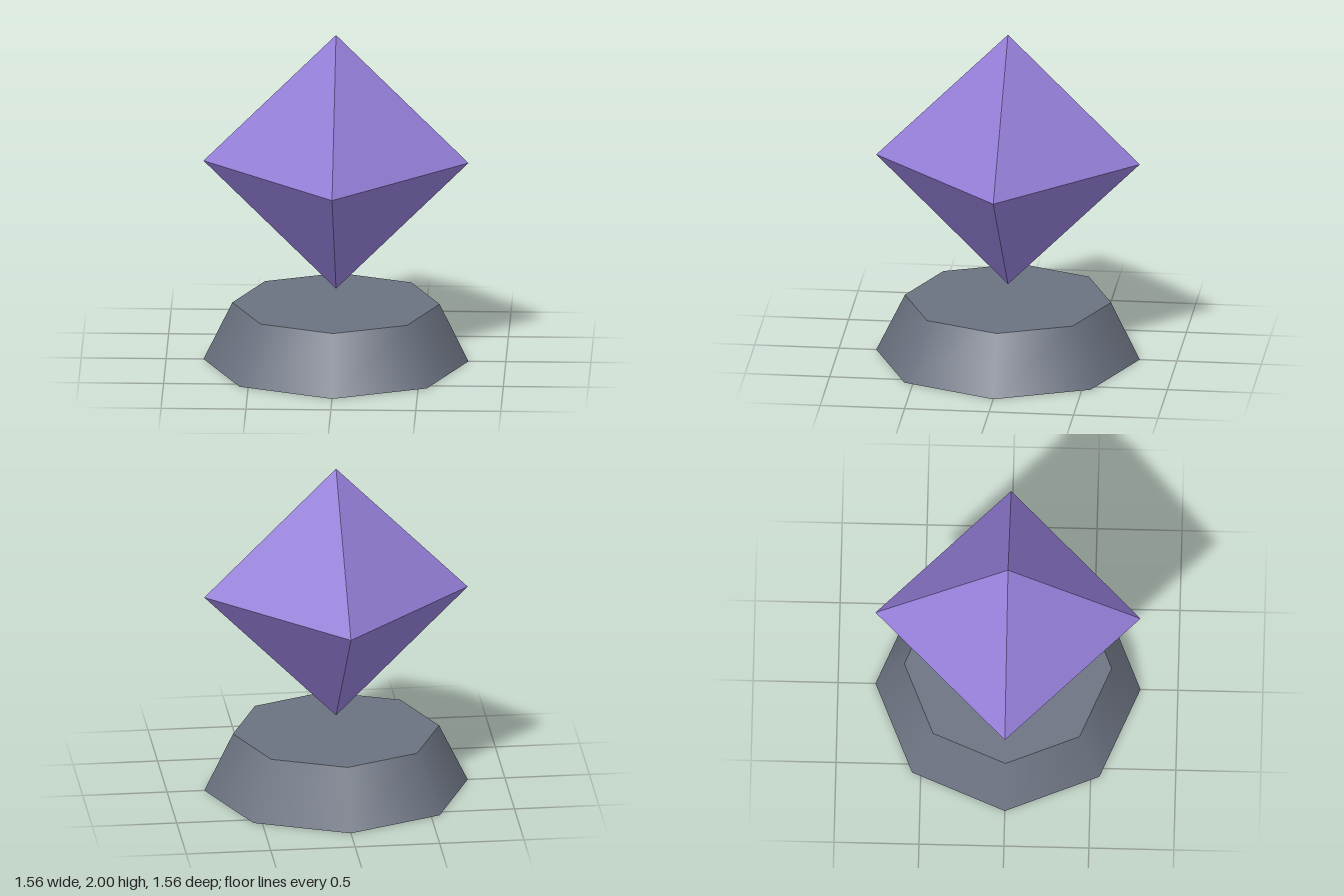
import * as THREE from 'three';

export function createModel() {
  const model = new THREE.Group();
  model.name = 'crystalOnPedestal';

  const stone = new THREE.MeshStandardMaterial({ color: 0x6b7280 });
  stone.name = 'slate grey';
  const violet = new THREE.MeshStandardMaterial({ color: 0x937dd6 });
  violet.name = 'violet';

  // Tapered eight-sided pedestal, softly shaded around its sides
  const pedestal = new THREE.Mesh(new THREE.CylinderGeometry(0.61, 0.78, 0.35, 8), stone);
  pedestal.name = 'pedestal';
  pedestal.position.y = 0.175;

  // Floating faceted crystal
  const crystal = new THREE.Mesh(new THREE.OctahedronGeometry(0.78), violet);
  crystal.name = 'crystal';
  crystal.position.y = 1.22;

  model.add(pedestal, crystal);
  return model;
}
